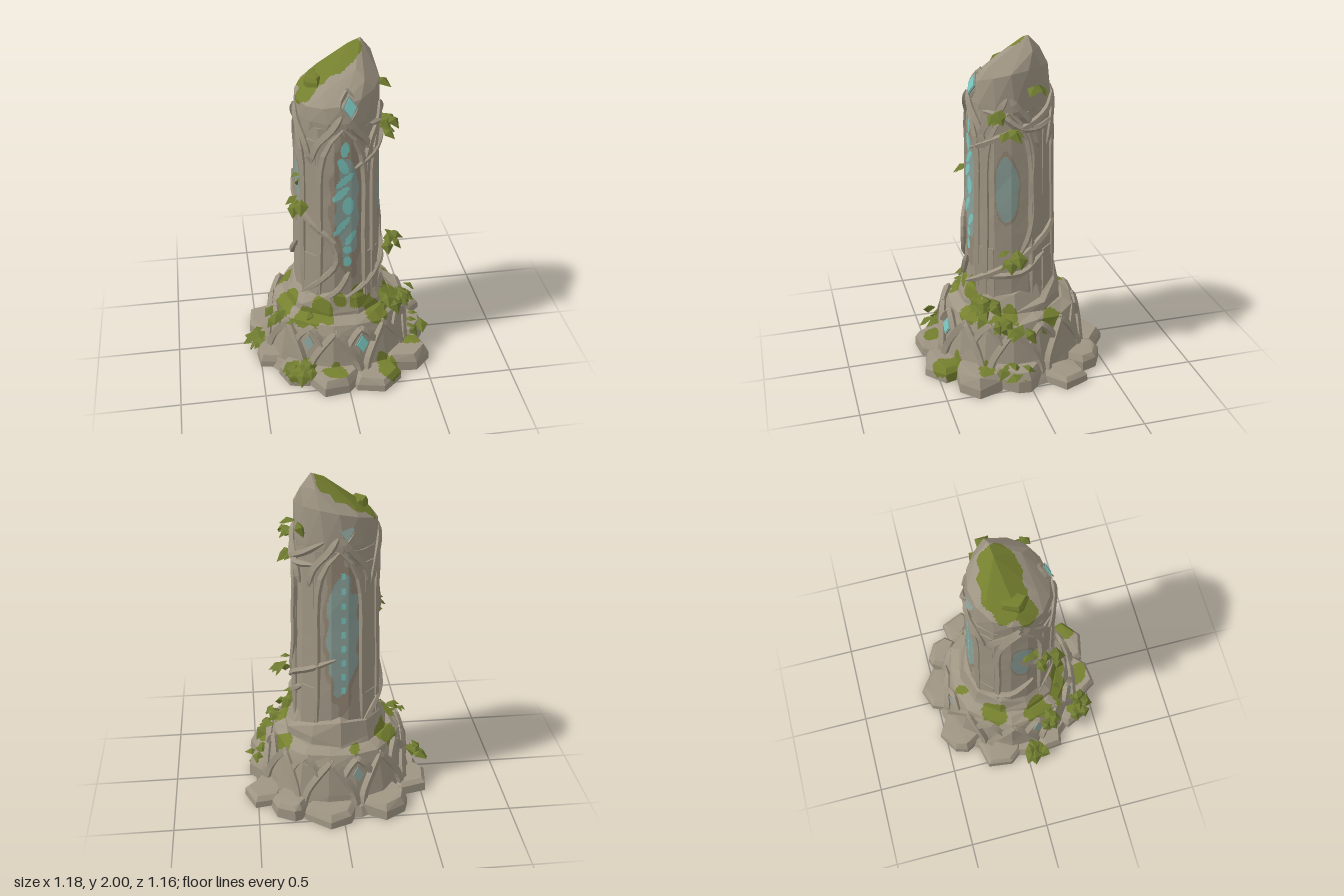
import * as THREE from 'three';
import { mergeGeometries } from 'three/addons/utils/BufferGeometryUtils.js';
import { ConvexGeometry } from 'three/addons/geometries/ConvexGeometry.js';

const V = (x, y, z) => new THREE.Vector3(x, y, z);
const mat = (name, color, side = THREE.FrontSide) => {
  const m = new THREE.MeshStandardMaterial({ color, side });
  m.name = name;
  return m;
};

// Point at a bearing round the pillar: 0 = front, 90 = its left (+x)
const polar = (deg, y, r) => {
  const a = deg * Math.PI / 180;
  return V(Math.sin(a) * r, y, Math.cos(a) * r);
};

// Repeatable noise
const makeRandom = (seed) => () => {
  seed = (seed * 16807) % 2147483647;
  return seed / 2147483647;
};

const shaftR = (y) => 0.266 - (y - 0.4) * 0.023;
const drumR = (y) => 0.466 - y * 0.2;
const crownR = (y) => 0.236 - Math.max(0, y - 1.66) * 0.45;

// Moss patches: centre and radius
const mossSpots = [
  [-0.13, 0.43, 0.28, 0.085], [0.12, 0.49, 0.26, 0.085], [0.2, 0.39, 0.27, 0.085], [-0.32, 0.38, 0.1, 0.09],
  [-0.29, 0.38, -0.16, 0.085], [0.35, 0.37, -0.2, 0.07], [0.33, 0.38, 0.1, 0.07], [-0.22, 0.37, 0.28, 0.08],
  [0.39, 0.34, -0.14, 0.05], [-0.33, 0.37, -0.3, 0.05], [0.26, 0.08, 0.44, 0.085], [-0.08, 0.1, 0.47, 0.065],
  [0.42, 0.1, 0.24, 0.06], [-0.3, 0.1, 0.42, 0.08], [-0.08, 0.37, -0.32, 0.035], [-0.03, 0.48, 0.27, 0.04],
];
const wobble = (p) => 0.01 * (Math.sin(p.x * 47 + p.y * 31) + Math.sin(p.z * 53 - p.x * 29));
const isMossy = (p) => mossSpots.some(([x, y, z, r]) => Math.hypot(p.x - x, p.y - y, p.z - z) < r + wobble(p));
const mossRule = (p) => (isMossy(p) ? 1 : 0);

// Moss on the sloping cap
const capRule = (p) => {
  const d = Math.hypot((p.x + 0.035) / 0.18, (p.z + 0.045) / 0.12);
  const drip = Math.hypot(p.x + 0.18, p.z - 0.05) < 0.065 + wobble(p);
  return p.y > 1.69 && (d < 1 + wobble(p) * 5 || drip) ? 1 : 0;
};

// Bright flecks of the front inlay: x, y, half width, half height, slant
const flecks = [
  [0.01, 1.475, 0.024, 0.045, 0.1], [0, 1.375, 0.027, 0.05, -0.3], [0.01, 1.285, 0.03, 0.045, 0.9],
  [-0.012, 1.2, 0.032, 0.045, 0.8], [0.03, 1.12, 0.034, 0.055, 0], [-0.005, 0.99, 0.024, 0.06, 0.7],
  [0.045, 0.905, 0.024, 0.045, 0.5], [0.025, 0.825, 0.026, 0.024, 0], [0.026, 0.745, 0.024, 0.036, 0],
];
const isFleck = (x, y) => flecks.some(([u, v, w, h, s]) => Math.hypot((x - u - s * (y - v)) / w, (y - v) / h) < 1);

// Inlaid panels on the four faces: 0 stone, 1 moss, 2 worn stone, 3 faded inlay, 4 bright inlay
const shaftRule = (p) => {
  if (isMossy(p)) return 1;
  const w = wobble(p);
  if (Math.abs(p.x) < 0.125) {
    const u = p.x - 0.02 * Math.sign(p.z), y = p.y;
    const e = Math.hypot(u / 0.1, (y - 1.1) / 0.46) + w * 8;
    if (p.z > 0) return isFleck(p.x, y) ? 4 : e < 0.72 ? 3 : e < 1.05 ? 2 : 0;
    if (e < 0.95 && Math.abs(u) < 0.013 && Math.sin(y * 70) > 0.3) return 4;
    return e < 0.85 ? 3 : e < 1.05 ? 2 : 0;
  }
  const e = Math.hypot((p.z - (p.x > 0 ? 0.072 : 0.02)) / 0.065, (p.y - 1.15) / 0.2) + w * 5;
  return e < 1 ? 3 : e < 1.12 ? 2 : 0;
};

// Splits faces down to a size and sorts them into colour groups by a rule
function paint(source, size, rule) {
  const flat = source.index ? source.toNonIndexed() : source;
  const pos = flat.attributes.position, buckets = [[], [], [], [], []];
  const split = (a, b, c) => {
    const ab = a.distanceTo(b), bc = b.distanceTo(c), ca = c.distanceTo(a), longest = Math.max(ab, bc, ca);
    if (longest < size) {
      buckets[rule(V(0, 0, 0).add(a).add(b).add(c).divideScalar(3))].push(a, b, c);
    } else if (longest > ab) {
      if (longest === bc) split(b, c, a);
      else split(c, a, b);
    } else {
      const m = a.clone().lerp(b, 0.5);
      split(a, m, c);
      split(m, b, c);
    }
  };
  const at = (i) => V(0, 0, 0).fromBufferAttribute(pos, i);
  for (let i = 0; i < pos.count; i += 3) split(at(i), at(i + 1), at(i + 2));
  const g = new THREE.BufferGeometry().setFromPoints(buckets.flat());
  let start = 0;
  buckets.forEach((b, i) => {
    if (b.length) g.addGroup(start, b.length, i);
    start += b.length;
  });
  g.computeVertexNormals();
  return g;
}

// Rough faceted drum through rings of [height, radius, height jitter]
function loft(rings, sides, jitter, seed) {
  const rnd = makeRandom(seed), pts = [], idx = [];
  const bump = Array.from({ length: sides }, () => (rnd() - 0.5) * jitter);
  rings.forEach(([y, r, dy = 0]) => {
    for (let j = 0; j < sides; j++) {
      pts.push(polar((j + 0.5) * 360 / sides, y + (rnd() - 0.5) * dy, r + bump[j] + (rnd() - 0.5) * jitter * 0.5));
    }
  });
  const top = (rings.length - 1) * sides;
  pts.push(V(0, rings[0][0], 0), V(0, rings[rings.length - 1][0], 0));
  for (let j = 0; j < sides; j++) {
    const k = (j + 1) % sides;
    for (let o = 0; o < top; o += sides) idx.push(o + j, o + k, o + sides + k, o + j, o + sides + k, o + sides + j);
    idx.push(pts.length - 2, k, j, pts.length - 1, top + j, top + k);
  }
  const g = new THREE.BufferGeometry().setFromPoints(pts);
  g.setIndex(idx);
  return g;
}

// Angular boulder with a bevelled top
function rock(x, z, w, d, h, seed, y0 = 0) {
  const rnd = makeRandom(seed * 977 + 13), pts = [];
  for (let i = 0; i < 7; i++) {
    const a = (i + 0.5 + (rnd() - 0.5) * 0.8) * Math.PI / 3.5, k = 1.03 + (rnd() - 0.5) * 0.22;
    [[0, 1], [h * (0.45 + rnd() * 0.25), 0.97], [h * (0.9 + rnd() * 0.15), 0.78]].forEach(([y, s]) =>
      pts.push(V(x + Math.cos(a) * w * k * s, y0 + y, z + Math.sin(a) * d * k * s)));
  }
  return new ConvexGeometry(pts);
}

// Tapered angular strand through [bearing, height] points on a round surface
function strand(path, radiusAt, thick, sides = 4, lift = 0) {
  const curve = new THREE.CatmullRomCurve3(path.map(([a, y]) => polar(a, y, radiusAt(y) + lift)), false, 'centripetal');
  const n = (path.length - 1) * 3, g = new THREE.TubeGeometry(curve, n, thick, sides);
  const pos = g.attributes.position, p = V(0, 0, 0);
  for (let i = 0; i < pos.count; i++) {
    const t = Math.floor(i / (sides + 1)) / n, c = curve.getPointAt(t);
    p.fromBufferAttribute(pos, i).sub(c).multiplyScalar(Math.min(1, 0.35 + 5 * Math.min(t, 1 - t))).add(c);
    pos.setXYZ(i, p.x, p.y, p.z);
  }
  const flat = g.toNonIndexed();
  flat.computeVertexNormals();
  return flat;
}

// Diamond plate lying against a surface
function diamond(deg, y, r, w, h, tilt) {
  const s = new THREE.Shape([[0, -h], [w, 0], [0, h], [-w, 0]].map(([a, b]) => new THREE.Vector2(a, b)));
  const g = new THREE.ExtrudeGeometry(s, { depth: 0.008, bevelEnabled: false });
  const p = polar(deg, y, r);
  return g.rotateX(-tilt).rotateY(deg * Math.PI / 180).translate(p.x, p.y, p.z);
}

// Folded pointed leaf, growing along +z
function leafGeometry(L) {
  const b = V(0, 0, 0), m = V(0, L * 0.15, L * 0.5), t = V(0, -L * 0.2, L);
  const l = V(-L * 0.4, -L * 0.06, L * 0.45), r = V(L * 0.4, -L * 0.06, L * 0.45);
  const g = new THREE.BufferGeometry().setFromPoints([b, m, l, b, r, m, l, m, t, m, r, t]);
  g.computeVertexNormals();
  return g;
}

function leafCluster(x, y, z, count, spread, seed) {
  const rnd = makeRandom(seed * 7919 + 5), out = Math.atan2(x, z), leaves = [];
  for (let i = 0; i < count; i++) {
    const g = leafGeometry(0.085 + rnd() * 0.035);
    g.rotateX(0.1 + rnd() * 0.7).rotateY(out + (rnd() - 0.5) * 3.4);
    g.translate(x + (rnd() - 0.5) * spread, y + (rnd() - 0.5) * spread * 0.7, z + (rnd() - 0.5) * spread);
    g.computeBoundingBox();
    g.translate(0, Math.max(0, 0.01 - g.boundingBox.min.y), 0);
    leaves.push(g);
  }
  return mergeGeometries(leaves);
}

export function createModel() {
  const model = new THREE.Group();
  const stone = mat('stone', 0x9f9583), moss = mat('moss', 0x75802f), worn = mat('wornStone', 0x948775);
  const faded = mat('fadedInlay', 0x8a9f98), glow = mat('brightInlay', 0x7cc8c0);
  const leaf = mat('leaf', 0x6f7b30, THREE.DoubleSide);
  const painted = [stone, moss, worn, faded, glow];
  const add = (name, geo, material) => {
    const m = new THREE.Mesh(geo, material);
    m.name = name;
    model.add(m);
  };

  // Foot stones: x, z, half width, half depth, height
  add('footing', paint(loft([[0, 0.505], [0.06, 0.48, 0.02]], 14, 0.03, 5), 0.03, mossRule), painted);
  [[0.07, -0.43, 0.16, 0.14, 0.085], [-0.25, -0.38, 0.16, 0.14, 0.1], [0.3, -0.36, 0.125, 0.12, 0.1],
    [0.445, -0.21, 0.125, 0.14, 0.07], [-0.43, -0.16, 0.125, 0.15, 0.08], [-0.41, 0.16, 0.12, 0.13, 0.08],
    [-0.26, 0.34, 0.13, 0.12, 0.1], [-0.08, 0.44, 0.15, 0.13, 0.1], [0.18, 0.45, 0.15, 0.13, 0.08],
    [0.36, 0.29, 0.16, 0.15, 0.11], [0.42, 0.06, 0.12, 0.17, 0.13],
  ].forEach(([x, z, w, d, h], i) => add('footStone', paint(rock(x, z, w, d, h, i + 1), 0.025, mossRule), painted));

  // Base drum and broken collar
  add('baseDrum', paint(loft([[0, 0.46], [0.12, 0.44], [0.3, 0.405], [0.36, 0.385, 0.03], [0.39, 0.325]], 16, 0.025, 21), 0.022, mossRule), painted);
  add('collar', paint(loft([[0.34, 0.335], [0.42, 0.318, 0.05], [0.5, 0.29, 0.09], [0.55, 0.24, 0.05]], 11, 0.03, 8), 0.02, mossRule), painted);

  // Interlaced arches and diamonds round the drum
  for (let i = 0; i < 8; i++) {
    const c = 13 + i * 45;
    for (const s of [-1, 1]) {
      add('drumArchRib', strand([[c + s * 2, 0.03], [c + s * 4, 0.13], [c + s * 11, 0.23], [c + s * 24, 0.35]], drumR, 0.026), stone);
      add('drumDiamondRib', strand([[c + s * 13, 0.23], [c + s * 6, 0.31], [c - s * 2, 0.36]], drumR, 0.023), stone);
    }
    if ([0, 4, 6, 7].includes(i)) {
      const k = i === 0 ? 1 : 0.75;
      add('drumDiamond', diamond(c, 0.25, drumR(0.25) - 0.002, 0.045 * k, 0.065 * k, 0.2), faded);
      if (i === 0) add('drumDiamondCore', diamond(c, 0.25, drumR(0.25) + 0.003, 0.036, 0.052, 0.2), glow);
    }
  }

  // Shaft, sloping cap and the mossy lump on its slope
  const rings = Array.from({ length: 11 }, (_, i) => [0.4 + i * 0.12, shaftR(0.4 + i * 0.12)]);
  add('shaft', paint(loft(rings, 16, 0.008, 33), 0.016, shaftRule), painted);
  const cap = [V(0.14, 2, -0.07), V(0.07, 1.975, -0.06), V(0.2, 1.925, -0.08), V(0.12, 1.93, -0.14), V(0.09, 1.89, 0.09),
    V(-0.19, 1.775, 0), V(-0.03, 1.895, -0.06), V(-0.09, 1.775, 0.13), V(-0.09, 1.83, -0.14), V(0.13, 1.84, 0.14)];
  for (let i = 0; i < 14; i++) {
    const a = i * 360 / 14, sin = Math.sin(a * Math.PI / 180), cos = Math.cos(a * Math.PI / 180);
    cap.push(V(sin * 0.236, 1.77 + 0.05 * sin - 0.04 * cos, cos * 0.218), polar(a + 6, 1.63, 0.238), polar(a, 1.54, 0.232));
  }
  add('cap', paint(new ConvexGeometry(cap), 0.018, capRule), painted);
  add('mossLump', rock(-0.125, -0.01, 0.055, 0.08, 0.065, 52, 1.765), moss);

  // Pilasters on the corners, with a broken block at each foot
  for (const a of [45, 135, 225, 315]) {
    const rad = a * Math.PI / 180;
    [[0.085, 0.98, 0.05, 1.03, 0.222], [0.11, 0.32, 0.06, 0.58, 0.235]].forEach(([w, h, d, y, r], i) => {
      const g = new THREE.CylinderGeometry(w * 0.6, w * 0.72, h, 4, 1).rotateY(Math.PI / 4).scale(1, 1, d / w);
      const flat = g.toNonIndexed();
      flat.computeVertexNormals();
      const p = polar(a, y + (i ? Math.sin(a) * 0.05 : 0), r);
      add(i ? 'pilasterFoot' : 'pilaster', flat.rotateY(rad).translate(p.x, p.y, p.z), stone);
    });
  }

  // Pointed arch round each panel
  for (const c of [0, 75, 180, 272]) {
    const long = c % 180 === 0;
    for (const s of [-1, 1]) {
      add('archRib', strand([[c + s * 31, 0.48], [c + s * 30, 0.9], [c + s * 29, 1.36], [c + s * 20, 1.5], [c, 1.6]], shaftR, 0.021), stone);
      add('outerArchRib', strand([[c + s * 44, 1.38], [c + s * 34, 1.5], [c + s * 14, 1.6], [c + s * 2, 1.68]], shaftR, 0.024), stone);
      if (long) add('crownRib', strand([[c + 10 - s * 3, 1.63], [c + 10 + s * 14, 1.72], [c + 10 - s * 2, 1.81]], crownR, 0.014), stone);
    }
    if (long) {
      add('crownDiamond', diamond(c + 10, 1.72, 0.217, 0.042, 0.066, 0.35), faded);
      if (c === 0) add('crownDiamondCore', diamond(c + 10, 1.72, 0.222, 0.034, 0.053, 0.35), glow);
    }
  }

  // Climbing vines
  [[[-62, 0.46], [-28, 0.62], [-8, 0.75], [-12, 0.88], [-45, 1.0], [-75, 1.1], [-95, 1.24]],
    [[5, 0.5], [35, 0.58], [65, 0.66], [90, 0.73], [115, 0.81], [140, 0.87], [175, 0.95]],
    [[40, 0.6], [70, 0.62], [95, 0.64], [125, 0.73]],
    [[15, 1.36], [45, 1.42], [75, 1.48], [100, 1.52], [130, 1.58], [160, 1.66]],
    [[40, 1.6], [65, 1.58], [90, 1.51], [115, 1.5], [145, 1.52]],
    [[100, 1.5], [108, 1.36], [106, 1.2], [107, 1.0], [100, 0.85], [88, 0.74]],
    [[-150, 0.5], [-125, 0.6], [-100, 0.66], [-70, 0.82]],
    [[8, 0.68], [-6, 0.56], [-25, 0.48]],
  ].forEach((path) => add('vine', strand(path, shaftR, 0.02, 5, 0.008), stone));

  // Leaf clusters
  [[-0.23, 1.13, 0.15, 6, 0.08], [-0.21, 1.25, 0.1, 2, 0.03], [0.25, 1.61, 0.11, 4, 0.06], [0.25, 1.5, 0.05, 3, 0.05],
    [0.22, 1.74, -0.12, 2, 0.03], [0.29, 0.78, 0.04, 7, 0.08], [0.25, 0.46, 0.2, 11, 0.13], [0.33, 0.38, 0.15, 10, 0.13],
    [-0.37, 0.34, 0.14, 7, 0.09], [-0.22, 0.39, 0.22, 9, 0.13], [-0.46, 0.1, 0.08, 12, 0.13], [-0.28, 0.13, 0.4, 12, 0.14],
    [0.48, 0.12, 0.08, 11, 0.11], [0.39, 0.37, 0.04, 5, 0.08],
  ].forEach((c, i) => add('leafCluster', leafCluster(...c, i + 1), leaf));

  return model;
}
